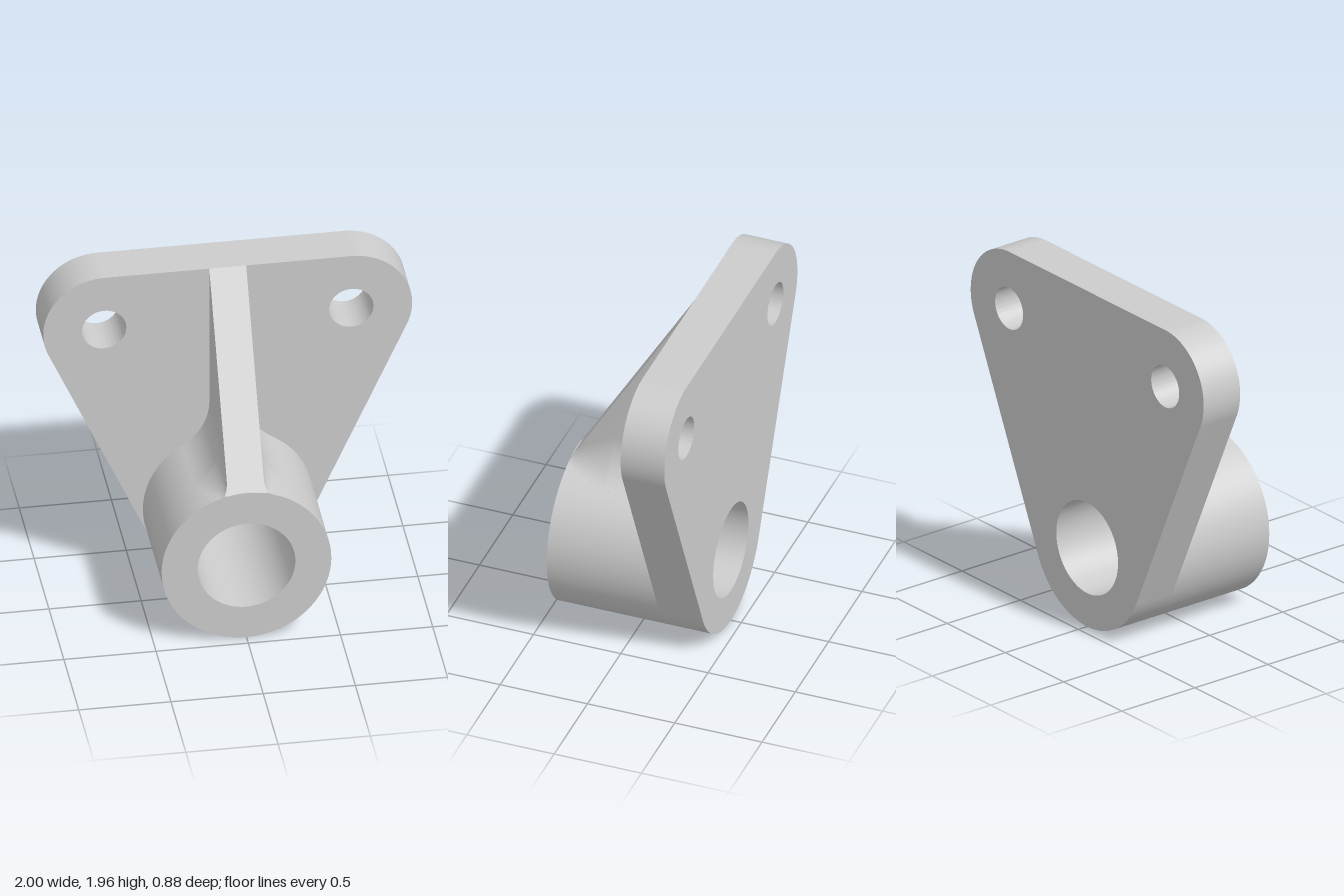
import * as THREE from 'three';
import { toCreasedNormals } from 'three/addons/utils/BufferGeometryUtils.js';

const BACK = -0.44, FACE = -0.19, FRONT = 0.44, TOP = 1.96;
const BOSS = { y: 0.46, r: 0.46, bore: 0.265 };
const EAR = { x: 0.67, y: 1.63, r: 0.33, hole: 0.12 };
const RIB = 0.1; // half thickness

const circle = (x, y, r) => new THREE.Path().absarc(x, y, r, 0, Math.PI * 2, true);

function extrude(shape, z0, z1) {
  const g = new THREE.ExtrudeGeometry(shape, { depth: z1 - z0, bevelEnabled: false, curveSegments: 48 });
  g.translate(0, 0, z0);
  return toCreasedNormals(g, 0.5);
}

// Rounded triangle: three arcs joined by their common tangents
function plateGeometry() {
  const dx = EAR.x, dy = EAR.y - BOSS.y;
  const t = Math.atan2(dy, dx) - Math.acos((BOSS.r - EAR.r) / Math.hypot(dx, dy));
  const s = new THREE.Shape();
  s.absarc(0, BOSS.y, BOSS.r, -Math.PI - t, t, false);
  s.absarc(EAR.x, EAR.y, EAR.r, t, Math.PI / 2, false);
  s.absarc(-EAR.x, EAR.y, EAR.r, Math.PI / 2, Math.PI - t, false);
  s.closePath();
  s.holes.push(circle(0, BOSS.y, BOSS.bore), circle(EAR.x, EAR.y, EAR.hole), circle(-EAR.x, EAR.y, EAR.hole));
  return extrude(s, BACK, FACE);
}

function bossGeometry() {
  const s = new THREE.Shape().absarc(0, BOSS.y, BOSS.r, 0, Math.PI * 2, false);
  s.holes.push(circle(0, BOSS.y, BOSS.bore));
  return extrude(s, FACE, FRONT);
}

// Rib section at depth z: sloped top, straight side, fillet running onto the boss
function ribSection(z) {
  const top = THREE.MathUtils.mapLinear(z, FACE, FRONT, TOP, 0.91);
  const r = THREE.MathUtils.lerp(0.3, 0.06, Math.max(0, (z - 0.2) / (FRONT - 0.2)));
  const cx = RIB + r, h = Math.sqrt((BOSS.r + r) ** 2 - cx * cx), cy = BOSS.y + h;
  const a0 = cy > top ? Math.asin((cy - top) / r) : 0;
  const a1 = Math.atan2(h, cx);
  const right = [];
  for (let i = 0; i <= 14; i++) {
    const a = a0 + (a1 - a0) * i / 14;
    right.push([cx - r * Math.cos(a), cy - r * Math.sin(a)]);
  }
  right.unshift([right[0][0], top]);
  right.push([Math.cos(a1) * 0.4, BOSS.y + Math.sin(a1) * 0.4]); // tucked inside the boss
  const left = right.map(([x, y]) => [-x, y]).reverse();
  return [...left, ...right].map(([x, y]) => [x, y, z]);
}

// Loft the sections from plate to front, then close the front end
function ribGeometry() {
  const N = 42, pos = [], rows = [];
  for (let i = 0; i <= N; i++) rows.push(ribSection(FACE + (FRONT - FACE) * i / N));
  const tri = (...pts) => pts.forEach(p => pos.push(...p));
  for (let i = 0; i < N; i++) {
    for (let j = 0; j < rows[0].length - 1; j++) {
      const a = rows[i][j], b = rows[i][j + 1], c = rows[i + 1][j], d = rows[i + 1][j + 1];
      tri(a, c, b);
      tri(b, c, d);
    }
  }
  const end = rows[N], hub = [0, 0.8, FRONT];
  for (let j = 0; j < end.length - 1; j++) tri(hub, end[j + 1], end[j]);
  const g = new THREE.BufferGeometry();
  g.setAttribute('position', new THREE.Float32BufferAttribute(pos, 3));
  return toCreasedNormals(g, 0.5);
}

export function createModel() {
  const group = new THREE.Group();
  group.name = 'bracket';
  const material = new THREE.MeshStandardMaterial({ color: 0xcccccc });
  const parts = { mountingPlate: plateGeometry(), boss: bossGeometry(), rib: ribGeometry() };
  for (const [name, geometry] of Object.entries(parts)) {
    const mesh = new THREE.Mesh(geometry, material);
    mesh.name = name;
    group.add(mesh);
  }
  return group;
}
